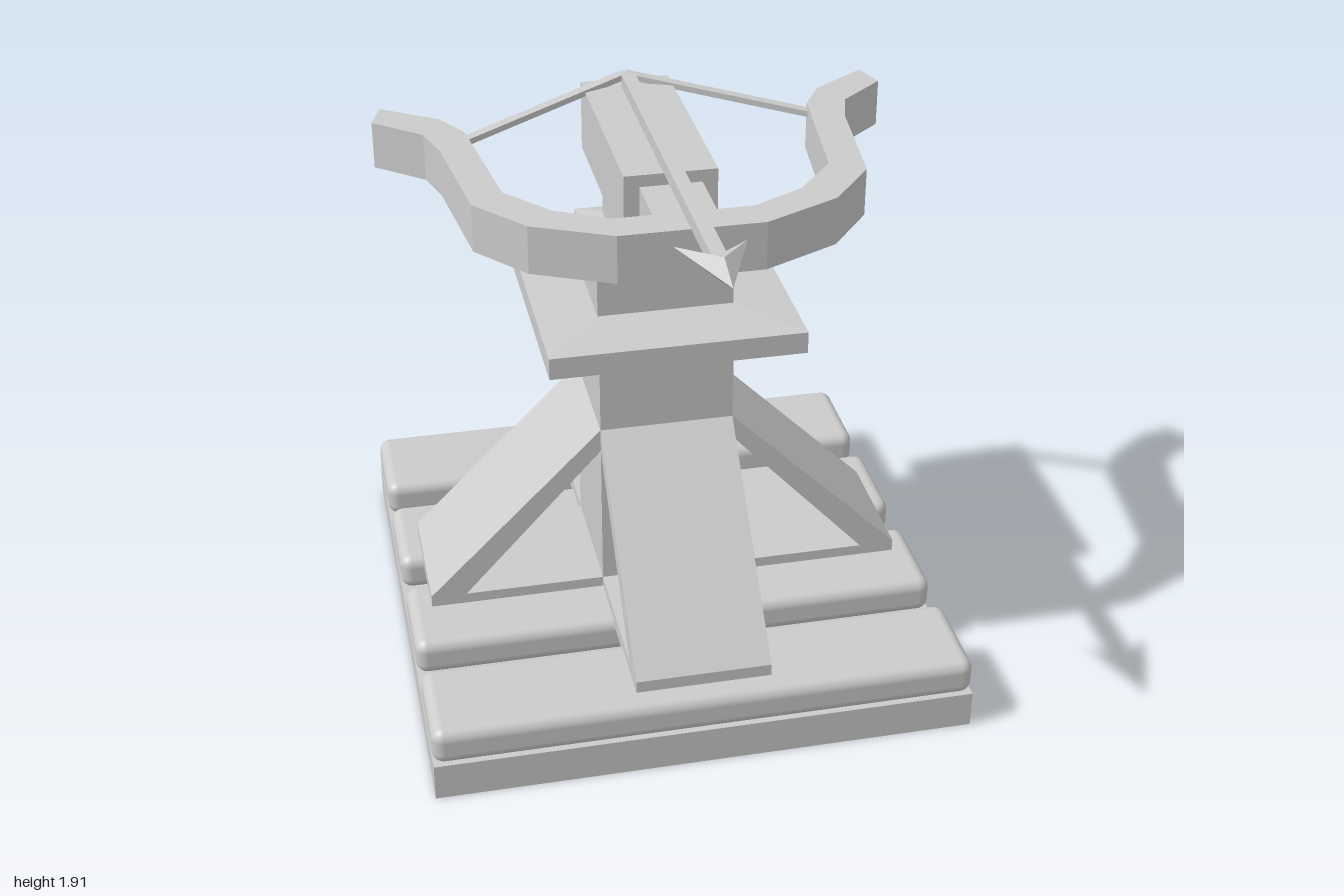
import * as THREE from 'three';
import { RoundedBoxGeometry } from 'three/addons/geometries/RoundedBoxGeometry.js';

const CZ = -0.1; // z of the tower axis

const flat = new THREE.MeshStandardMaterial({ color: 0xcccccc, flatShading: true, side: THREE.DoubleSide });
const smooth = new THREE.MeshStandardMaterial({ color: 0xcccccc });

export function createModel() {
  const model = new THREE.Group();

  const add = (name, geometry, material = flat, parent = model) => {
    const mesh = new THREE.Mesh(geometry, material);
    mesh.name = name;
    parent.add(mesh);
    return mesh;
  };

  // Box given by its limits on each axis
  const box = (name, x0, x1, y0, y1, z0, z1) => {
    const g = new THREE.BoxGeometry(x1 - x0, y1 - y0, z1 - z0);
    g.translate((x0 + x1) / 2, (y0 + y1) / 2, (z0 + z1) / 2);
    return add(name, g);
  };

  // Box without a floor, with an optional low pyramid-like cap
  const shell = (name, w, d, y0, y1, capW = 0, capD = 0, capH = 0) => {
    const g = new THREE.BoxGeometry(w, y1 - y0, d);
    const index = Array.from(g.index.array);
    index.splice(capH ? 12 : 18, capH ? 12 : 6);
    g.setIndex(index);
    g.translate(0, (y0 + y1) / 2, CZ);
    const group = new THREE.Group();
    group.name = name;
    model.add(group);
    add(name + 'Walls', g, flat, group);
    if (capH) {
      const cap = new THREE.BoxGeometry(w, capH, d);
      const p = cap.attributes.position;
      for (let i = 0; i < p.count; i++) {
        if (p.getY(i) > 0) p.setXYZ(i, p.getX(i) * capW / w, p.getY(i), p.getZ(i) * capD / d);
      }
      const capIndex = Array.from(cap.index.array);
      capIndex.splice(18, 6);
      cap.setIndex(capIndex);
      cap.translate(0, y1 + capH / 2, CZ);
      add(name + 'Cap', cap, flat, group);
    }
  };

  // Base tray and the four rounded planks lying on it
  shell('base', 1.8, 1.8, 0, 0.13);
  [[0.45, 0.8], [-0.02, 0.335], [-0.52, -0.16], [-1, -0.635]].forEach(([z0, z1]) => {
    const plank = add('plank', new RoundedBoxGeometry(1.8, 0.13, z1 - z0, 5, 0.04), smooth);
    plank.position.set(0, 0.193, (z0 + z1) / 2);
  });

  // Central post
  box('post', -0.225, 0.225, 0.24, 1.22, CZ - 0.225, CZ + 0.225);

  // Four wide triangular braces around the post
  const pts = (list) => list.map(([x, y]) => new THREE.Vector2(x, y));
  const braceShape = new THREE.Shape(pts([[0.22, 0.24], [0.82, 0.24], [0.82, 0.3], [0.22, 0.9]]));
  braceShape.holes.push(new THREE.Path(pts([[0.224, 0.295], [0.224, 0.815], [0.7, 0.295]])));
  const braceGeometry = new THREE.ExtrudeGeometry(braceShape, { depth: 0.45, bevelEnabled: false });
  braceGeometry.translate(0, 0, -0.225);
  for (let i = 0; i < 4; i++) {
    const brace = add('brace', braceGeometry);
    brace.position.z = CZ;
    brace.rotation.y = i * Math.PI / 2;
  }

  // Turntable, swivel block and neck
  shell('turntable', 0.84, 0.85, 1.23, 1.305, 0.45, 0.41, 0.012);
  shell('swivelBlock', 0.45, 0.41, 1.31, 1.505, 0.29, 0.27, 0.015);
  box('neck', -0.143, 0.143, 1.515, 1.61, -0.23, 0.04);

  // Stock
  box('stock', -0.15, 0.15, 1.6, 1.84, -0.58, 0.18);

  // Recurved bow with its tongue into the stock, drawn in plan (x, z)
  const half = [
    [0.1, 0.17], [0.1, 0.376], [0.22, 0.376], [0.39, 0.286], [0.52, 0.13], [0.56, -0.206],
    [0.577, -0.344], [0.645, -0.46], [0.83, -0.585], [0.866, -0.476], [0.71, -0.345],
    [0.672, -0.21], [0.625, 0.196], [0.48, 0.375], [0.23, 0.493],
  ];
  const mirrored = half.map(([x, z]) => [-x, z]).reverse();
  const bowGeometry = new THREE.ExtrudeGeometry(new THREE.Shape(pts([...half, ...mirrored])),
    { depth: 0.16, bevelEnabled: false });
  bowGeometry.rotateX(Math.PI / 2);
  bowGeometry.translate(0, 1.8, 0);
  add('bow', bowGeometry);

  // Bowstring, pulled back over the end of the stock
  for (const side of [-1, 1]) {
    const from = new THREE.Vector3(side * 0.6, 1.767, -0.325);
    const to = new THREE.Vector3(0, 1.862, -0.565);
    const string = add('bowstring', new THREE.BoxGeometry(0.034, 0.02, from.distanceTo(to)));
    string.position.copy(from).add(to).multiplyScalar(0.5);
    string.lookAt(to);
  }

  // Bolt shaft and barbed head
  box('boltShaft', -0.023, 0.023, 1.84, 1.887, -0.51, 0.84);
  const tip = [0, 1.867, 1], top = [0, 1.908, 0.89], low = [0, 1.825, 0.89], notch = [0, 1.867, 0.8];
  const faces = [];
  for (const s of [-1, 1]) {
    const barb = [s * 0.11, 1.867, 0.72];
    const tris = [[tip, barb, top], [tip, low, barb], [notch, top, barb], [notch, barb, low]];
    tris.forEach(([a, b, c]) => faces.push(...a, ...(s > 0 ? b : c), ...(s > 0 ? c : b)));
  }
  const head = new THREE.BufferGeometry();
  head.setAttribute('position', new THREE.Float32BufferAttribute(faces, 3));
  head.computeVertexNormals();
  add('boltHead', head);

  return model;
}
